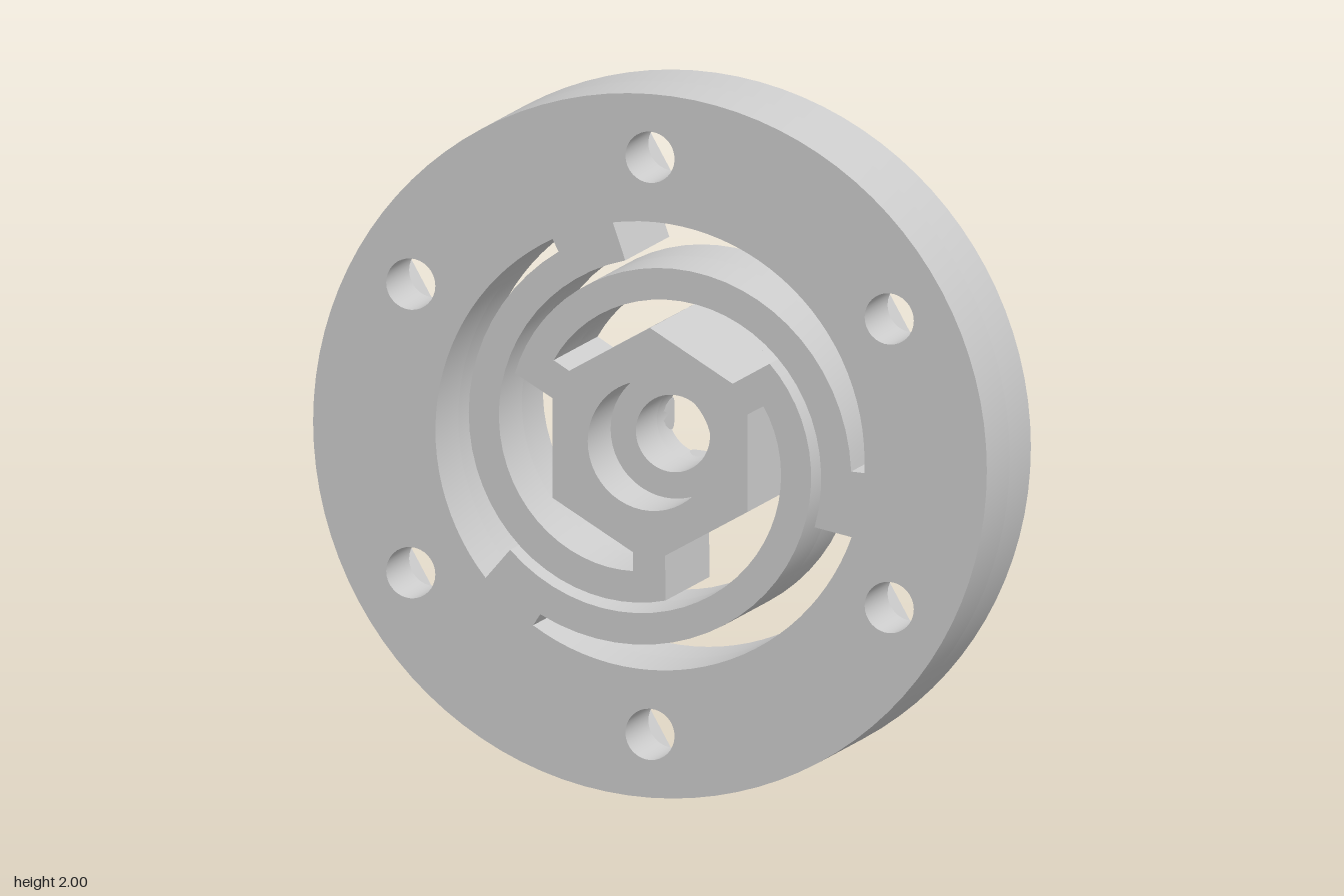
import * as THREE from 'three';
import { toCreasedNormals } from 'three/addons/utils/BufferGeometryUtils.js';

const RAD = Math.PI / 180;
const FRONT = 0.335, STEP = 0.15, BACK = -0.02, HUB_BACK = -0.115;
const material = new THREE.MeshStandardMaterial({ color: 0xcccccc });

const polar = (r, deg) => new THREE.Vector2(r * Math.cos(deg * RAD), r * Math.sin(deg * RAD));

// Points along r(angle) from one angle to another
function arc(from, to, radius, steps = 28) {
  return Array.from({ length: steps + 1 }, (_, i) => {
    const a = from + ((to - from) * i) / steps;
    return polar(radius(a), a);
  });
}

const polygon = (r, sides, start = 0, cx = 0, cy = 0) =>
  Array.from({ length: sides }, (_, i) =>
    polar(r, start + (i * 360) / sides).add(new THREE.Vector2(cx, cy)));

// Flat outline with holes, extruded between two depths
function slab(outline, holes, z0, z1) {
  const shape = new THREE.Shape(outline);
  shape.holes = holes.map((h) => new THREE.Path(h));
  const geo = new THREE.ExtrudeGeometry(shape, { depth: z1 - z0, bevelEnabled: false });
  geo.translate(0, 0, z0);
  return toCreasedNormals(geo, 0.5);
}

// Open space between two neighbouring spiral arms, the ring and the hub
function gapOutline(turn) {
  const rot = (p, deg) => p.clone().rotateAround(new THREE.Vector2(), deg * RAD);
  const points = [
    ...arc(36, -123, (a) => 0.475 - 0.001 * a),
    ...arc(-123, -20, () => 0.637),
    ...arc(-22, 142, (a) => 0.505 - 0.001 * a),
    rot(new THREE.Vector2(-0.05, -0.306), 240),
    polar(0.335, 90),
    rot(new THREE.Vector2(0.045, -0.309), 120),
  ];
  return points.map((p) => rot(p, turn));
}

export function createModel() {
  const model = new THREE.Group();
  const body = new THREE.Group();
  body.position.y = 1;
  model.add(body);

  const add = (name, geo) => {
    const mesh = new THREE.Mesh(geo, material);
    mesh.name = name;
    body.add(mesh);
    return mesh;
  };

  // Disc with spiral spring arms: bolt holes in front, nut pockets behind
  const disc = polygon(1, 96);
  const gaps = [0, 120, 240].map(gapOutline);
  const boltAngles = [30, 90, 150, 210, 270, 330];
  const boltCut = (r, sides) => boltAngles.map((a) => {
    const c = polar(0.82, a);
    return polygon(r, sides, 0, c.x, c.y);
  });
  add('discFront', slab(disc, [...gaps, ...boltCut(0.073, 32), polygon(0.185, 48)], STEP, FRONT));
  add('discBack', slab(disc, [...gaps, ...boltCut(0.132, 6), polygon(0.11, 48)], BACK, STEP));

  // Hexagonal hub standing out at the back
  add('hub', slab(polygon(0.335, 6, 30), [polygon(0.11, 48)], HUB_BACK, BACK));

  // Cross of half-sunk rods, their inner ends cut to the bore
  for (let i = 0; i < 4; i++) {
    const geo = new THREE.CylinderGeometry(0.045, 0.045, 0.175, 24);
    geo.translate(0, 0.1975, 0);
    const p = geo.attributes.position;
    for (let k = 0; k < p.count; k++) {
      if (p.getY(k) < 0.15) p.setY(k, Math.sqrt(0.11 ** 2 - p.getX(k) ** 2));
    }
    const rod = add('crossRod', geo);
    rod.position.z = HUB_BACK;
    rod.rotation.z = (i * Math.PI) / 2;
  }

  // Two sets of three upright blocks around the opening
  const blockSets = [
    { name: 'tallBlock', x: -0.67, y: 0.075, width: 0.19, back: -0.335 },
    { name: 'lowBlock', x: 0.665, y: 0.005, width: 0.24, back: -0.285 },
  ];
  for (const { name, x, y, width, back } of blockSets) {
    for (let i = 0; i < 3; i++) {
      const geo = new THREE.BoxGeometry(0.07, width, BACK - back);
      geo.translate(x, y, (BACK + back) / 2);
      add(name, geo).rotation.z = i * 120 * RAD;
    }
  }
  return model;
}
